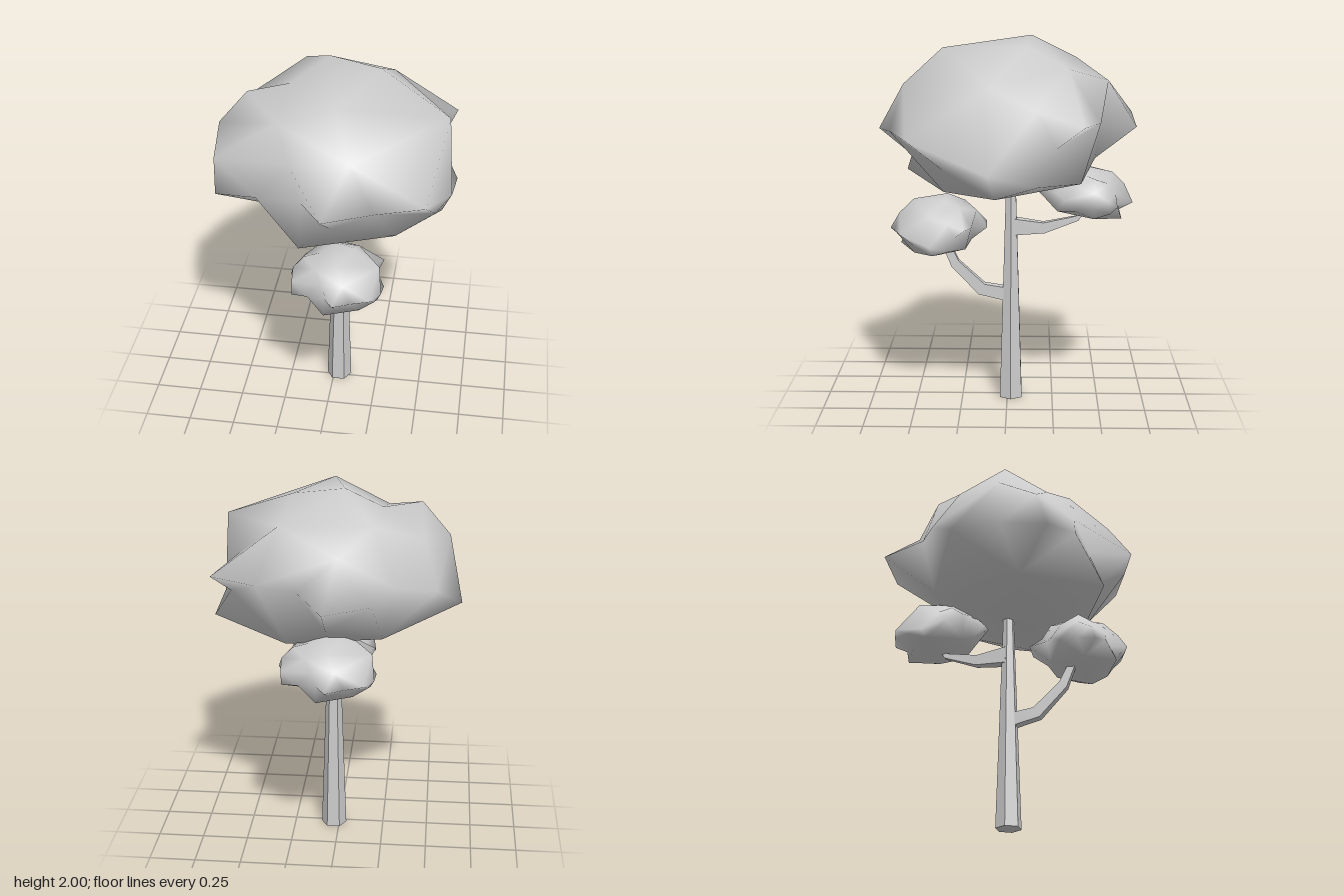
import * as THREE from 'three';
import { ConvexGeometry } from 'three/addons/geometries/ConvexGeometry.js';

const grey = new THREE.MeshStandardMaterial({ color: 0xcccccc });
grey.name = 'plain grey';

const CROWN_Y = 1.58;

// Tips and hollows of the foliage, from the top down
const LUMPS = [
  [-0.04, 2.0, -0.13], [0.23, 1.96, -0.1], [0.05, 1.94, 0.34],
  [-0.43, 1.88, 0.09], [-0.23, 1.88, -0.03], [-0.2, 1.87, -0.37],
  [0.28, 1.85, -0.32], [0.6, 1.8, 0.08], [-0.25, 1.81, 0.28],
  [0.15, 1.76, 0.54], [-0.03, 1.76, -0.54], [-0.45, 1.75, -0.16],
  [-0.58, 1.7, 0.1], [-0.17, 1.66, 0.41], [0.62, 1.6, -0.39],
  [0.5, 1.66, -0.16], [-0.57, 1.6, 0.3], [0.17, 1.56, -0.49],
  [0.38, 1.59, -0.48], [-0.32, 1.57, -0.41], [0.54, 1.48, -0.25],
  [-0.21, 1.57, -0.68], [0.03, 1.52, -0.69], [0.52, 1.52, 0.5],
  [0.03, 1.51, 0.685], [0.28, 1.53, 0.6], [-0.52, 1.52, -0.29],
  [-0.1, 1.48, 0.47], [-0.33, 1.48, 0.45], [-0.56, 1.42, 0.35],
  [-0.57, 1.46, 0.1], [-0.65, 1.41, -0.14], [0.56, 1.38, 0.31],
  [0.05, 1.37, 0.51], [0.63, 1.36, 0.09], [0.645, 1.31, -0.16],
  [0.03, 1.35, -0.47], [-0.25, 1.28, -0.36], [-0.1, 1.265, 0.55],
  [-0.36, 1.26, 0.15], [0.24, 1.25, -0.39], [0.58, 1.235, 0.05],
  [0.36, 1.23, 0.32], [0.1, 1.165, 0.08],
].map(([x, y, z]) => new THREE.Vector3(x, y - CROWN_Y, z));

// Lumpy foliage: join the lumps as a ball would be, then move each to its own place
function foliageGeometry() {
  const ball = LUMPS.map((p) => new THREE.Vector3(p.x, p.y * 1.6, p.z).normalize());
  const hull = new ConvexGeometry(ball).getAttribute('position');
  const corner = new THREE.Vector3();
  const index = [];
  for (let i = 0; i < hull.count; i++) {
    corner.fromBufferAttribute(hull, i);
    index.push(ball.findIndex((d) => d.distanceTo(corner) < 1e-4));
  }
  const geometry = new THREE.BufferGeometry().setFromPoints(LUMPS);
  geometry.setIndex(index);
  geometry.computeVertexNormals();
  return geometry;
}

// Four-sided, tapered, bent limb in the plane x = 0.03; path entries are [z, y, half thickness]
function limbGeometry(path) {
  const centres = path.map(([z, y]) => new THREE.Vector3(0.03, y, z));
  const side = new THREE.Vector3(1, 0, 0);
  const points = path.flatMap(([, , r], i) => {
    const along = centres[Math.min(i + 1, path.length - 1)].clone()
      .sub(centres[Math.max(i - 1, 0)]).normalize();
    const across = along.cross(side);
    return [[1, 1], [-1, 1], [-1, -1], [1, -1]].map(([s, t]) => centres[i].clone()
      .addScaledVector(side, s * r * 0.75)
      .addScaledVector(across, t * r));
  });
  const end = points.length - 4;
  const index = [0, 2, 1, 0, 3, 2, end, end + 1, end + 2, end, end + 2, end + 3];
  for (let lo = 0; lo < end; lo += 4) {
    for (let j = 0; j < 4; j++) {
      const k = (j + 1) % 4;
      index.push(lo + j, lo + k, lo + 4 + k, lo + j, lo + 4 + k, lo + 4 + j);
    }
  }
  const geometry = new THREE.BufferGeometry().setFromPoints(points);
  geometry.setIndex(index);
  const flat = geometry.toNonIndexed();
  flat.computeVertexNormals();
  return flat;
}

export function createModel() {
  const tree = new THREE.Group();
  tree.name = 'tree';
  const add = (name, geometry) => {
    const mesh = new THREE.Mesh(geometry, grey);
    mesh.name = name;
    tree.add(mesh);
    return mesh;
  };

  // Six-sided trunk, running up into the crown
  const trunk = new THREE.CylinderGeometry(0.027, 0.07, 1.3, 6).rotateY(Math.PI / 6).toNonIndexed();
  trunk.computeVertexNormals();
  add('trunk', trunk).position.set(0.03, 0.65, -0.02);

  // Branches
  add('frontBranch', limbGeometry([[-0.01, 0.592, 0.037], [0.14, 0.622, 0.033], [0.285, 0.765, 0.026], [0.345, 0.9, 0.018]]));
  add('backBranch', limbGeometry([[-0.03, 0.975, 0.046], [-0.2, 0.968, 0.029], [-0.38, 1.02, 0.014], [-0.42, 1.08, 0.012]]));

  // Crown and the two small clumps share one shape
  const foliage = foliageGeometry();
  add('crown', foliage).position.y = CROWN_Y;
  const front = add('frontClump', foliage);
  front.position.set(0.065, 1.0, 0.37);
  front.scale.setScalar(0.38);
  const back = add('backClump', foliage);
  back.position.set(0.03, 1.165, -0.42);
  back.scale.set(0.39, 0.35, 0.385);
  back.rotation.set(-0.13, Math.PI, 0);
  return tree;
}
